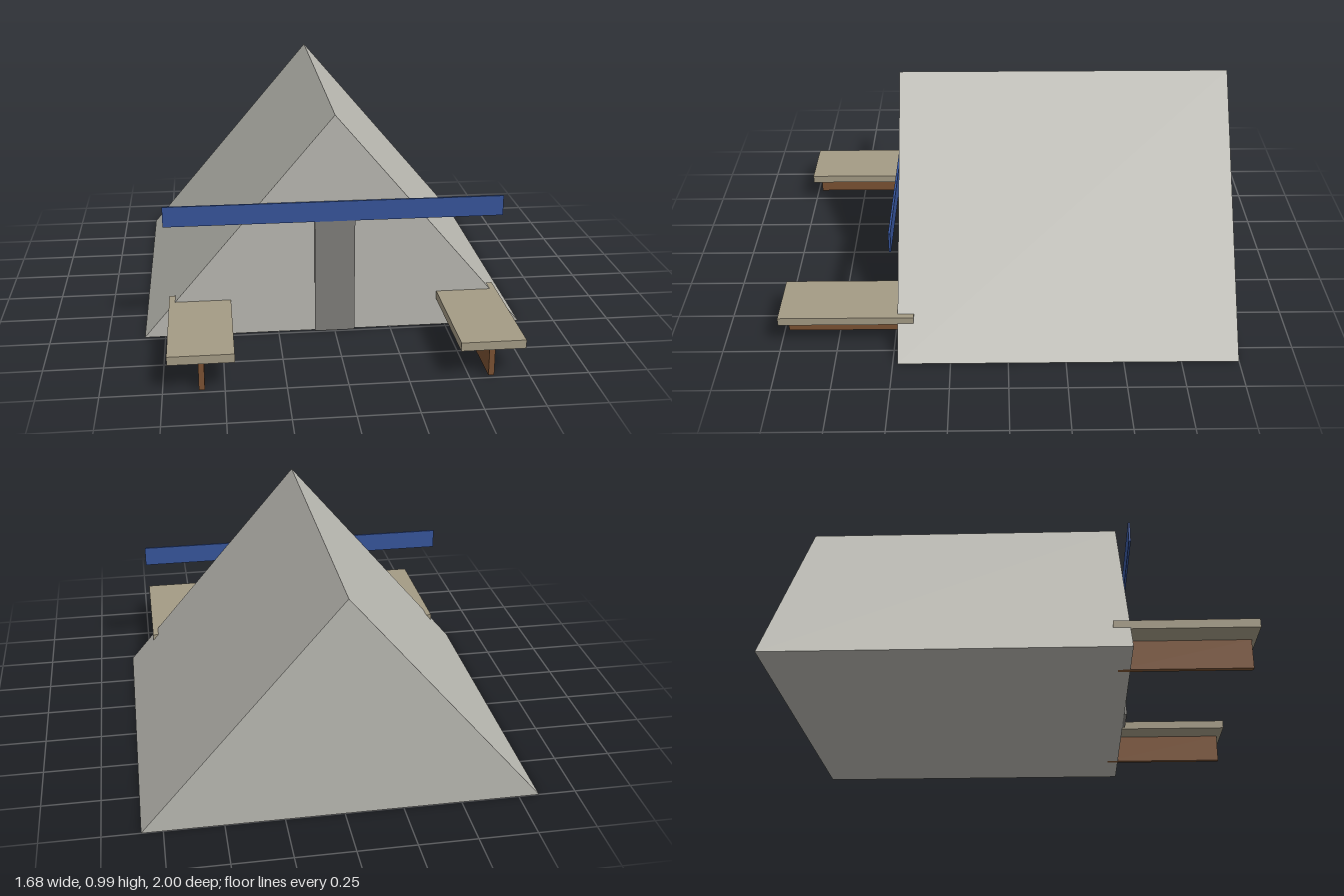
import * as THREE from 'three';

export function createModel() {
  const model = new THREE.Group();
  const paint = (name, color) => {
    const m = new THREE.MeshStandardMaterial({ color });
    m.name = name;
    return m;
  };
  const canvas = paint('pale grey canvas', 0xb9b8b1);
  const doorGrey = paint('dark grey door', 0x7f7e7a);
  const blue = paint('blue banner', 0x36549a);
  const tan = paint('tan tabletop', 0xa49b85);
  const brown = paint('brown wood', 0x7b5233);

  // Box given by its minimum and maximum corners
  const box = (name, material, [x0, y0, z0], [x1, y1, z1]) => {
    const mesh = new THREE.Mesh(new THREE.BoxGeometry(x1 - x0, y1 - y0, z1 - z0), material);
    mesh.position.set((x0 + x1) / 2, (y0 + y1) / 2, (z0 + z1) / 2);
    mesh.name = name;
    return mesh;
  };

  // Triangular tent body, closed at both ends and below
  const gable = new THREE.Shape([
    new THREE.Vector2(-0.84, 0),
    new THREE.Vector2(0.84, 0),
    new THREE.Vector2(0, 0.99),
  ]);
  const body = new THREE.Mesh(
    new THREE.ExtrudeGeometry(gable, { depth: 1.48, bevelEnabled: false }), canvas);
  body.position.z = -1;
  body.name = 'tentBody';
  model.add(body);

  // Door panel and the long banner above it
  model.add(box('door', doorGrey, [-0.088, 0, 0.478], [0.088, 0.54, 0.492]));
  model.add(box('banner', blue, [-0.74, 0.52, 0.487], [0.74, 0.61, 0.496]));

  // A table on each side, running out from the front wall
  for (const side of [-1, 1]) {
    const table = new THREE.Group();
    table.name = side > 0 ? 'leftTable' : 'rightTable';
    const top = box('tabletop', tan, [-0.135, 0.126, 0.41], [0.135, 0.163, 1]);
    const support = box('tableSupport', brown, [-0.012, 0, 0.43], [0.012, 0.126, 0.98]);
    table.add(top, support);
    table.position.x = side * 0.593;
    model.add(table);
  }
  return model;
}
